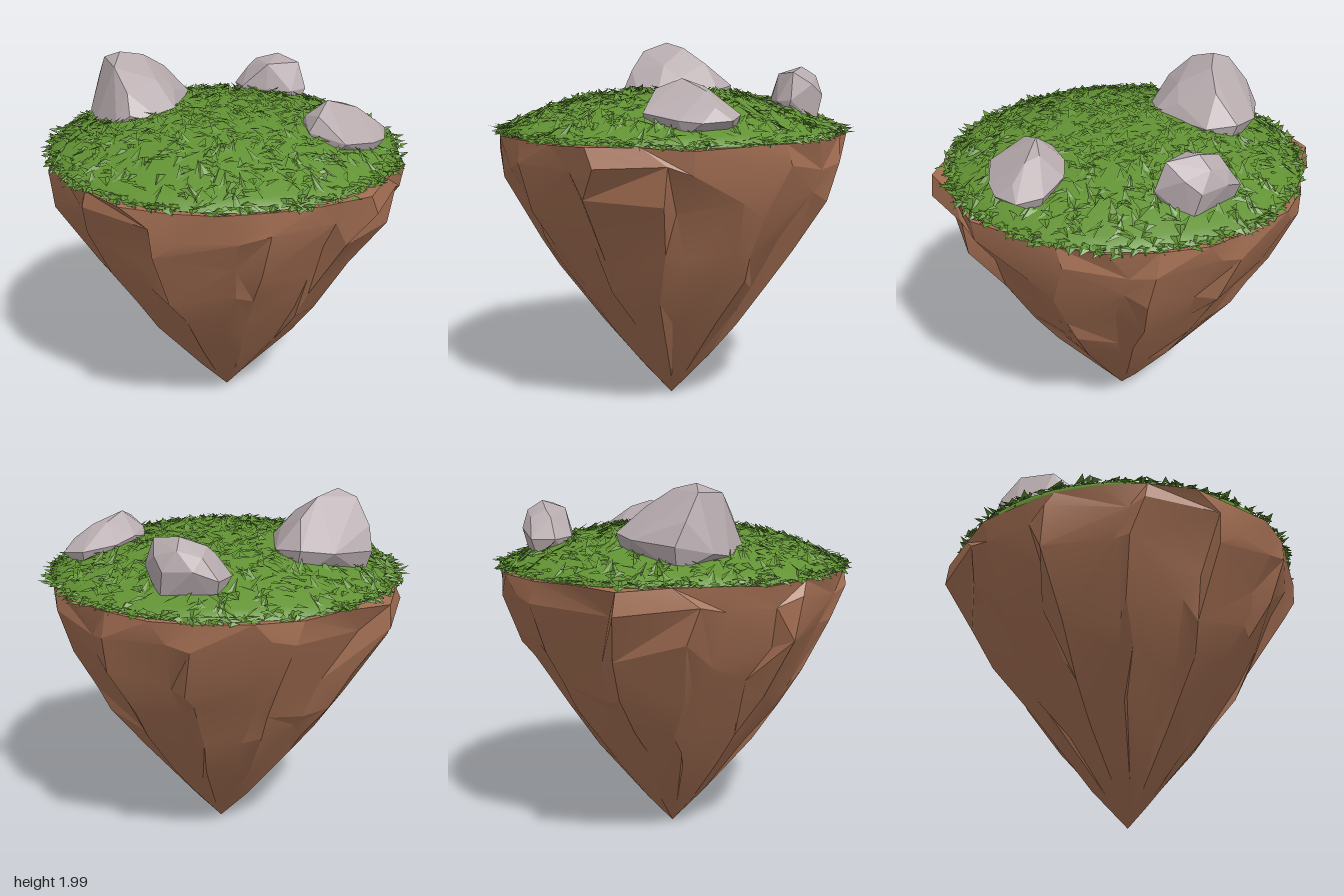
import * as THREE from 'three';
import { toCreasedNormals } from 'three/addons/utils/BufferGeometryUtils.js';
import { ConvexGeometry } from 'three/addons/geometries/ConvexGeometry.js';

const earth = new THREE.MeshStandardMaterial({ name: 'earthBrown', color: 0xa46f53 });
const grass = new THREE.MeshStandardMaterial({ name: 'grassGreen', color: 0x629234, side: THREE.DoubleSide });
const stone = new THREE.MeshStandardMaterial({ name: 'stoneGrey', color: 0xb7abae });

// Small seeded random source
function makeRandom(seed) {
  return () => {
    seed = (seed * 1664525 + 1013904223) >>> 0;
    return seed / 4294967296;
  };
}

function triangles(list) {
  const g = new THREE.BufferGeometry();
  g.setAttribute('position', new THREE.Float32BufferAttribute(list.flatMap((p) => [p.x, p.y, p.z]), 3));
  g.computeVertexNormals();
  return g;
}

const V = (x, y, z) => new THREE.Vector3(x, y, z);

// Outline of the earth cone as [height, radius], from the rim down
const outline = [[1.52, 0.95], [1.4, 0.945], [1.2, 0.865], [1.0, 0.75], [0.8, 0.635],
  [0.6, 0.485], [0.4, 0.34], [0.2, 0.175], [0, 0]];

function coneRadius(y) {
  const i = Math.max(1, outline.findIndex(([h]) => h <= y));
  const [y0, r0] = outline[i - 1], [y1, r1] = outline[i];
  return r0 + ((r1 - r0) * (y0 - y)) / (y0 - y1);
}

// Jagged cone of earth: tall slabs with steep steps between them, merging towards the tip
function earthGeometry() {
  const rnd = makeRandom(77);
  const rim = [0.98, 0.95, 1.02, 0.95, 0.95, 0.96, 0.94, 0.97, 0.94, 0.93, 0.93, 0.93,
    0.95, 0.95, 1.02, 0.93, 0.96, 0.98, 0.94, 0.96, 0.95, 0.95, 0.94, 0.93];
  const heights = [1.52, 1.4, 1.18, 0.95, 0.72, 0.48, 0.2];
  const n = rim.length;
  const steps = rim.map(() => (rnd() < 0.5 ? -1 : 1) * (0.015 + 0.035 * rnd()));
  const rings = heights.map((y, j) => {
    const ring = rim.map((k, i) => {
      const odd = i % 2;
      const yy = y + (rnd() - 0.5) * (j === 0 ? 0.02 : j === 1 ? 0.1 : 0.17);
      const step = (odd ? -1 : 1) * steps[i - odd];
      const f = j === 0 ? k / 0.95 : j === 1 ? (k / 0.95) * (1 + step * 0.6)
        : 1 + step + (rnd() - 0.5) * 0.07;
      const r = coneRadius(Math.min(yy, 1.52)) * f;
      const shift = j === 0 ? 0 : (odd ? -0.5 : 0) + (rnd() - 0.5) * 0.45 + (j > 1 ? 0.25 : 0);
      const a = ((i + shift) / n) * Math.PI * 2;
      return V(Math.cos(a) * r + 0.02 * (1 - y / 1.52), yy, Math.sin(a) * r);
    });
    return j > 5 ? ring.map((p, i) => ring[i - (i % 2)]) : ring;
  });
  const tip = V(0.02, 0, 0), lid = V(0, 1.53, 0), out = [];
  const face = (a, b, c) => {
    if (a !== b && b !== c && c !== a) out.push(a, b, c);
  };
  for (let i = 0; i < n; i++) {
    const k = (i + 1) % n;
    face(lid, rings[0][k], rings[0][i]);
    for (let j = 0; j < rings.length - 1; j++) {
      const a = rings[j][i], b = rings[j][k], c = rings[j + 1][i], d = rings[j + 1][k];
      if (rnd() < 0.5) {
        face(c, a, b);
        face(c, b, d);
      } else {
        face(c, a, d);
        face(a, b, d);
      }
    }
    face(tip, rings[rings.length - 1][i], rings[rings.length - 1][k]);
  }
  return toCreasedNormals(triangles(out), 0.3);
}

// Height of the turf at a distance from the middle
const turfRadius = 0.94;
const turfY = (r) => 1.53 + 0.205 * (1 - Math.min(1, (r / turfRadius) ** 2.5));

function turfGeometry() {
  const profile = [new THREE.Vector2(turfRadius - 0.03, 1.515)];
  for (let i = 0; i <= 12; i++) {
    const r = turfRadius * (1 - i / 12);
    profile.push(new THREE.Vector2(r, turfY(r)));
  }
  return new THREE.LatheGeometry(profile, 48);
}

// Short folded blades scattered over the turf, keeping clear of the boulders
function bladeGeometry(clear) {
  const rnd = makeRandom(5), out = [];
  for (let i = 0; i < 1500; i++) {
    const edge = i < 380;
    const r = edge ? 0.9 + 0.045 * rnd() : 0.92 * Math.sqrt(rnd());
    const a = rnd() * Math.PI * 2;
    const x = Math.cos(a) * r, z = Math.sin(a) * r;
    if (clear.some(([cx, cz, rx, rz]) => ((x - cx) / rx) ** 2 + ((z - cz) / rz) ** 2 < 0.7)) continue;
    const d = edge ? a + (rnd() - 0.5) * 2.8 : rnd() * Math.PI * 2;
    const len = (edge ? 0.03 : 0.06) + 0.04 * rnd(), w = 0.02 + 0.015 * rnd();
    const dx = Math.cos(d), dz = Math.sin(d);
    const y = turfY(r) - 0.003;
    const left = V(x - dz * w, y, z + dx * w);
    const right = V(x + dz * w, y, z - dx * w);
    const fold = V(x + dx * len * 0.3, y + 0.01, z + dz * len * 0.3);
    const tx = x + dx * len, tz = z + dz * len;
    const lift = edge ? -0.02 + 0.05 * rnd() : 0.006 + 0.03 * rnd();
    const tip = V(tx, turfY(Math.hypot(tx, tz)) + lift, tz);
    out.push(left, tip, fold, fold, tip, right);
  }
  return triangles(out);
}

// Boulder corners as [x, y, z]; the hull gives the flat facets
const boulders = {
  largeBoulder: [
    [-0.79, 1.7, -0.2], [-0.77, 1.82, -0.14], [-0.6, 1.72, -0.37], [-0.43, 1.74, -0.41], [-0.3, 1.72, -0.31],
    [-0.31, 1.79, -0.08], [-0.25, 1.71, 0.05], [-0.28, 1.67, 0.15], [-0.45, 1.72, 0.23], [-0.53, 1.66, 0.23],
    [-0.7, 1.64, 0.1], [-0.77, 1.66, 0], [-0.7, 1.95, -0.06], [-0.6, 1.99, -0.04], [-0.5, 1.96, -0.13],
    [-0.42, 1.87, -0.25], [-0.38, 1.86, 0], [-0.58, 1.94, 0.1], [-0.48, 1.83, 0.18],
    [-0.75, 1.57, -0.18], [-0.4, 1.57, -0.35], [-0.28, 1.57, 0.08], [-0.55, 1.57, 0.2]],
  backBoulder: [
    [-0.12, 1.68, -0.67], [-0.07, 1.68, -0.79], [0.05, 1.73, -0.82], [0.2, 1.72, -0.8], [0.25, 1.78, -0.73],
    [0.32, 1.7, -0.6], [0.25, 1.69, -0.54], [0.1, 1.69, -0.54], [-0.05, 1.69, -0.57], [-0.04, 1.79, -0.68],
    [0, 1.83, -0.7], [0.13, 1.87, -0.7], [0.27, 1.845, -0.62], [0.1, 1.83, -0.58], [0.13, 1.82, -0.78],
    [0.01, 1.79, -0.78],
    [-0.05, 1.56, -0.75], [0.22, 1.56, -0.76], [0.26, 1.56, -0.57], [0, 1.56, -0.57]],
  sideBoulder: [
    [0.43, 1.7, 0], [0.47, 1.72, -0.1], [0.55, 1.69, -0.2], [0.72, 1.66, -0.26], [0.84, 1.64, -0.2],
    [0.86, 1.63, -0.05], [0.82, 1.64, 0.06], [0.7, 1.67, 0.22], [0.5, 1.7, 0.17], [0.45, 1.745, 0.03],
    [0.56, 1.83, 0.01], [0.62, 1.79, -0.1], [0.7, 1.775, -0.09], [0.54, 1.78, 0.14], [0.8, 1.7, -0.12],
    [0.48, 1.56, 0], [0.72, 1.56, -0.22], [0.8, 1.56, 0.03], [0.6, 1.56, 0.18]],
};

export function createModel() {
  const group = new THREE.Group();
  group.name = 'floatingIsland';
  const add = (name, geometry, material) => {
    const mesh = new THREE.Mesh(geometry, material);
    mesh.name = name;
    group.add(mesh);
  };

  add('earthCone', earthGeometry(), earth);
  add('turf', turfGeometry(), grass);
  add('grassBlades', bladeGeometry([
    [-0.52, -0.08, 0.27, 0.32], [0.1, -0.68, 0.22, 0.15], [0.65, -0.02, 0.22, 0.24]]), grass);
  for (const [name, points] of Object.entries(boulders)) {
    add(name, new ConvexGeometry(points.map((p) => V(...p))), stone);
  }
  return group;
}
